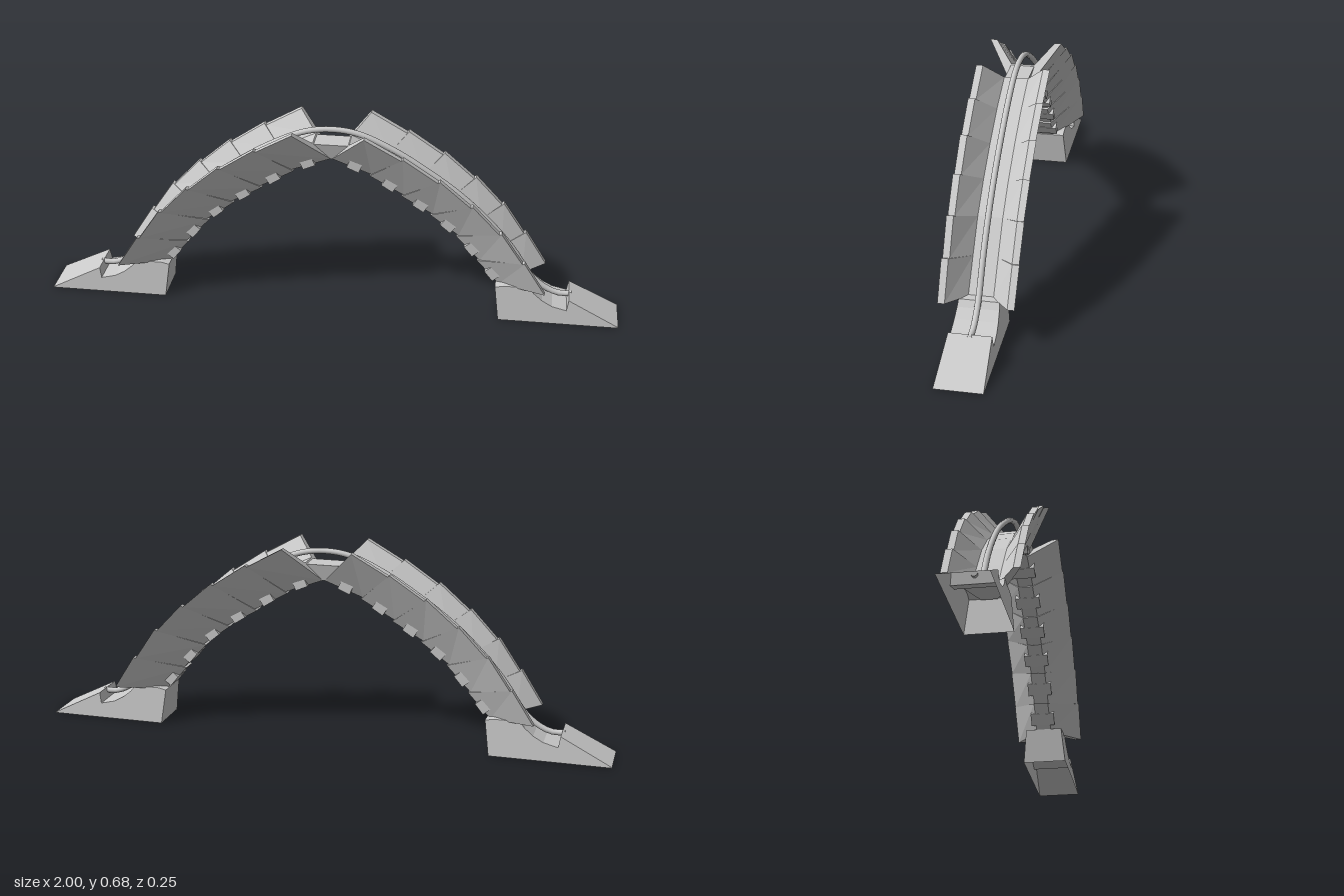
import * as THREE from 'three';

const material = new THREE.MeshStandardMaterial({ color: 0xcccccc, flatShading: true, side: THREE.DoubleSide });
const smooth = new THREE.MeshStandardMaterial({ color: 0xcccccc });

// Skins a row of matching cross-sections; caps lists the quads closing the ends
function loft(name, sections, { closed = true, caps = [], start = true, end = true } = {}) {
  const pos = [];
  const quad = (a, b, c, d) => [a, b, c, a, c, d].forEach((p) => pos.push(...p));
  for (let s = 0; s < sections.length - 1; s++) {
    const a = sections[s], b = sections[s + 1], n = a.length;
    for (let i = 0; i < (closed ? n : n - 1); i++) {
      const j = (i + 1) % n;
      quad(a[i], a[j], b[j], b[i]);
    }
  }
  const first = sections[0], last = sections[sections.length - 1];
  for (const c of caps) {
    if (start) quad(...[...c].reverse().map((i) => first[i]));
    if (end) quad(...c.map((i) => last[i]));
  }
  const g = new THREE.BufferGeometry();
  g.setAttribute('position', new THREE.Float32BufferAttribute(pos, 3));
  g.computeVertexNormals();
  const mesh = new THREE.Mesh(g, material);
  mesh.name = name;
  return mesh;
}

// Joint lines of the arch: upper rim point and underside point [x, y]
const joints = [
  [[-0.12, 0.677], [-0.003, 0.555]],
  [[-0.25, 0.613], [-0.13, 0.5]],
  [[-0.374, 0.54], [-0.24, 0.43]],
  [[-0.485, 0.455], [-0.34, 0.365]],
  [[-0.585, 0.36], [-0.43, 0.29]],
  [[-0.667, 0.253], [-0.505, 0.2]],
  [[-0.75, 0.137], [-0.575, 0.113]],
];
const mix = (a, b, t) => [a[0] + (b[0] - a[0]) * t, a[1] + (b[1] - a[1]) * t];

// V-shaped trough section on a joint line, optionally shrunk for the overlapped end
function troughSection([top, bottom], shrink) {
  const rim = mix(top, bottom, shrink), floor = mix(top, bottom, 0.5), base = mix(top, bottom, 1 - shrink);
  const k = 1 - shrink * 0.4;
  return [
    [...rim, 0.123 * k], [...rim, 0.1 * k], [...floor, 0.04], [...floor, -0.04],
    [...rim, -0.1 * k], [...rim, -0.123 * k], [...base, -0.026], [...base, 0.026],
  ];
}
const troughCaps = [[0, 1, 2, 7], [2, 3, 6, 7], [3, 4, 5, 6]];

function makeSide(name) {
  const side = new THREE.Group();
  side.name = name;

  // Overlapping trough segments, each with a small block through its underside
  for (let i = 0; i < joints.length - 1; i++) {
    const a = joints[i], b = joints[i + 1];
    side.add(loft('troughSegment', [troughSection(a, 0), troughSection(b, 0.05)], { caps: troughCaps }));

    const [x, y] = mix(mix(a[0], b[0], 0.5), mix(a[1], b[1], 0.5), 0.88);
    const block = new THREE.Mesh(new THREE.BoxGeometry(0.045, 0.035, 0.086), material);
    block.name = 'undersideBlock';
    block.position.set(x, y, 0);
    block.rotation.z = Math.atan2(a[1][1] - b[1][1], a[1][0] - b[1][0]);
    side.add(block);
  }

  // Hollow wedge foot with a saddle where the rail ends
  const stations = [
    [-0.572, 0.122, -0.588], [-0.6, 0.128, -0.61], [-0.69, 0.128], [-0.705, 0.108], [-0.735, 0.083],
    [-0.77, 0.064], [-0.82, 0.052], [-0.826, 0.09], [-1, 0.002],
  ];
  const footSections = stations.map(([x, y, footX = x]) => {
    const w = 0.077 - 0.094 * y;
    return [[footX, 0, 0.077], [x, y, w], [x, y, -w], [footX, 0, -0.077]];
  });
  side.add(loft('foot', footSections, { closed: false, caps: [[0, 1, 2, 3]], end: false }));
  return side;
}

export function createModel() {
  const model = new THREE.Group();
  model.name = 'archBridge';

  const left = makeSide('rightHalf');
  const right = makeSide('leftHalf');
  right.rotation.y = Math.PI;
  model.add(left, right);

  // Keystone joining the two halves
  const keySection = (sign) => [
    [0.062 * sign, 0.612, 0.04], [0.062 * sign, 0.612, -0.04],
    [0.004 * sign, 0.555, -0.026], [0.004 * sign, 0.555, 0.026],
  ];
  model.add(loft('keystone', [keySection(1), keySection(-1)], { caps: [[0, 1, 2, 3]] }));

  // Round rail running over the whole arch
  const half = [
    [-0.835, 0.08], [-0.79, 0.08], [-0.745, 0.098], [-0.695, 0.14], [-0.62, 0.248], [-0.535, 0.345],
    [-0.437, 0.435], [-0.327, 0.515], [-0.21, 0.587], [-0.09, 0.64],
  ];
  const points = [...half, [0, 0.652], ...half.map(([x, y]) => [-x, y]).reverse()];
  const curve = new THREE.CatmullRomCurve3(points.map(([x, y]) => new THREE.Vector3(x, y, 0)));
  const rail = new THREE.Mesh(new THREE.TubeGeometry(curve, 96, 0.01, 12), smooth);
  rail.name = 'rail';
  model.add(rail);

  return model;
}
